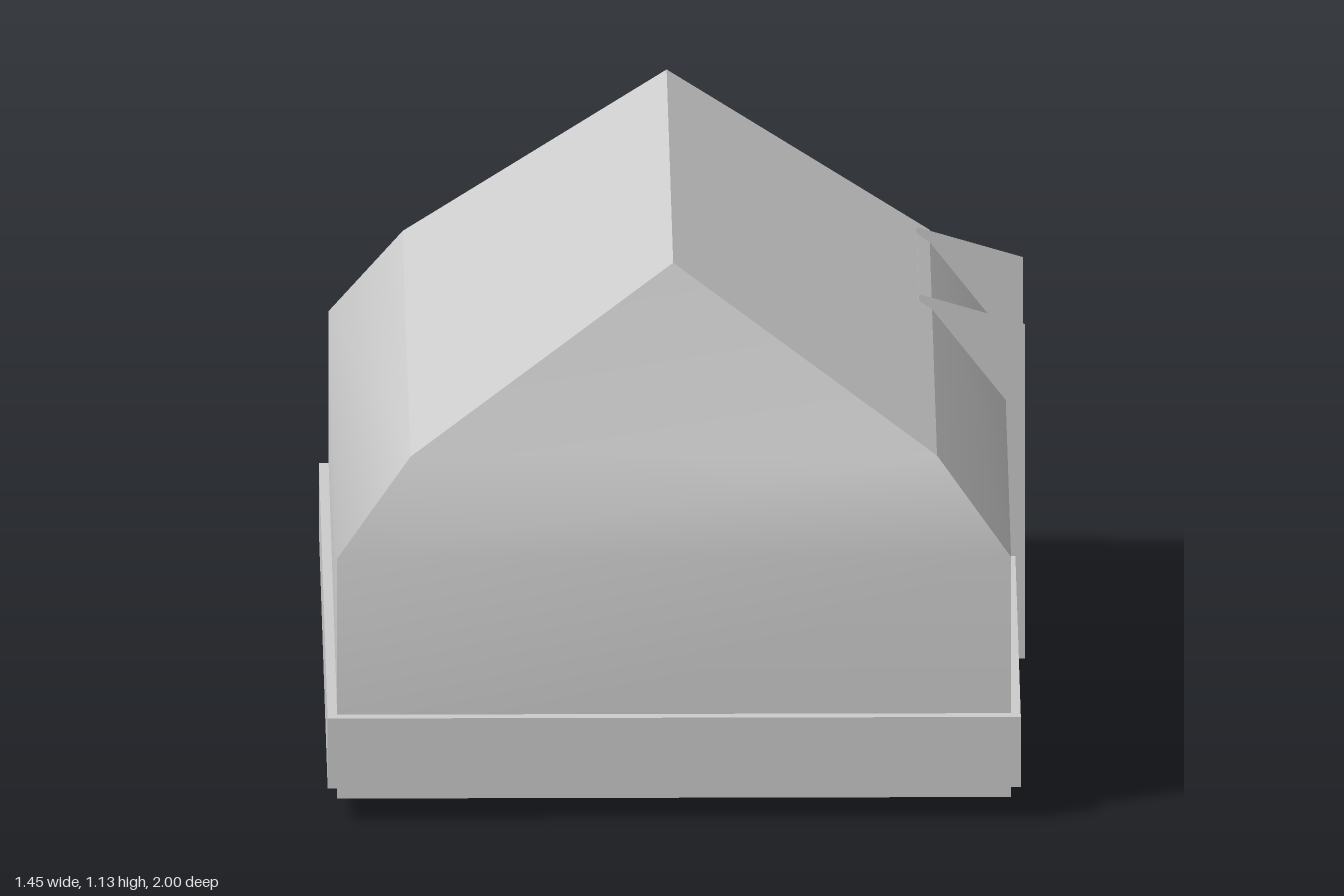
import * as THREE from 'three';

const CX = -0.0125; // the house sits slightly off centre because of the side screen

// Outline of the house by height: [y, half width, half depth]
const BASE = [0.04, 0.6975, 0.97];
const EAVES = [0.555, 0.6975, 0.97];
const KNEE = [0.75, 0.545, 0.885];
const RIDGE = [1.13, 0, 0.757];

function corner([y, w, d], i) {
  const [sx, sz] = [[-1, 1], [1, 1], [1, -1], [-1, -1]][i % 4];
  return [sx * w, y, sz * d];
}

// One side of the house, smooth from level to level
function sidePanel(side, levels) {
  const points = levels.flatMap(l => [...corner(l, side), ...corner(l, side + 1)]);
  const index = [];
  for (let i = 0; i < levels.length - 1; i++) {
    const a = i * 2;
    index.push(a, a + 1, a + 3);
    const isApex = levels[i + 1][1] === 0 && side % 2 === 0;
    if (!isApex) index.push(a, a + 3, a + 2);
  }
  const geo = new THREE.BufferGeometry();
  geo.setAttribute('position', new THREE.Float32BufferAttribute(points, 3));
  geo.setIndex(index);
  geo.computeVertexNormals();
  return geo;
}

export function createModel() {
  const model = new THREE.Group();
  const grey = new THREE.MeshStandardMaterial({ color: 0xcccccc });
  const thin = new THREE.MeshStandardMaterial({ color: 0xcccccc, side: THREE.DoubleSide });

  const add = (name, geo, x, y, z, material = grey) => {
    const mesh = new THREE.Mesh(geo, material);
    mesh.name = name;
    mesh.position.set(x, y, z);
    model.add(mesh);
    return mesh;
  };

  // Gable ends, one smooth panel from base to apex
  add('frontEnd', sidePanel(0, [BASE, EAVES, KNEE, RIDGE]), CX, 0, 0);
  add('backEnd', sidePanel(2, [BASE, EAVES, KNEE, RIDGE]), CX, 0, 0);

  // Long sides: wall curving into the lower slope, then a flat upper slope
  for (const [side, name] of [[1, 'left'], [3, 'right']]) {
    add(name + 'Wall', sidePanel(side, [BASE, EAVES, KNEE]), CX, 0, 0);
    add(name + 'UpperRoof', sidePanel(side, [KNEE, RIDGE]), CX, 0, 0);
  }

  // Underside
  const floor = add('floor', new THREE.PlaneGeometry(BASE[1] * 2, BASE[2] * 2), CX, BASE[0], 0);
  floor.rotation.x = Math.PI / 2;

  // Band around the foot of the walls
  add('plinthBand', new THREE.BoxGeometry(1.435, 0.15, 2), CX, 0.145, 0);

  // Thin three-sided screen let into the left wall: two cheeks and a back sheet
  const [inner, outer, zFront, zBack, top] = [0.505, 0.725, -0.26, -0.785, 0.783];
  const cheek = new THREE.Shape([
    new THREE.Vector2(inner, 0), new THREE.Vector2(outer, 0),
    new THREE.Vector2(outer, 0.718), new THREE.Vector2(inner, top),
  ]);
  add('screenFrontCheek', new THREE.ShapeGeometry(cheek), 0, 0, zFront, thin);
  add('screenBackCheek', new THREE.ShapeGeometry(cheek), 0, 0, zBack, thin);
  const sheet = add('screenBackSheet', new THREE.PlaneGeometry(zFront - zBack, top),
    inner, top / 2, (zFront + zBack) / 2, thin);
  sheet.rotation.y = Math.PI / 2;

  return model;
}
